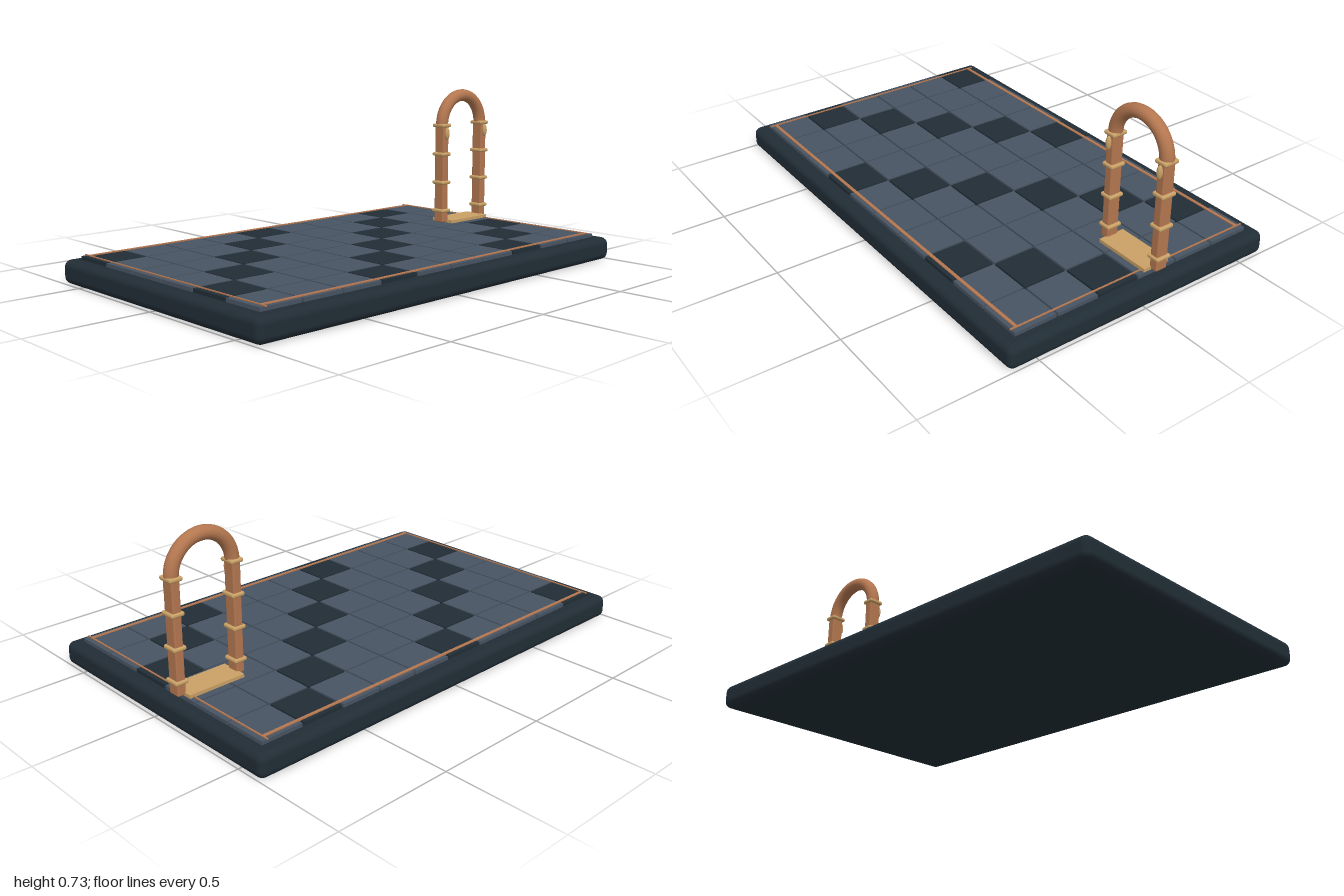
import * as THREE from 'three';
import { RoundedBoxGeometry } from 'three/addons/geometries/RoundedBoxGeometry.js';

const material = (name, color) => {
  const m = new THREE.MeshStandardMaterial({ color });
  m.name = name;
  return m;
};

export function createModel() {
  const model = new THREE.Group();
  model.name = 'tiledFloorWithArch';

  const slate = material('dark slate', 0x212d36);
  const tileGrey = material('tile grey', 0x485463);
  const copper = material('copper', 0xb47750);
  const brass = material('brass', 0xc9a066);

  const add = (parent, name, geometry, mat, x, y, z) => {
    const mesh = new THREE.Mesh(geometry, mat);
    mesh.name = name;
    mesh.position.set(x, y, z);
    parent.add(mesh);
    return mesh;
  };

  // Rounded base slab
  add(model, 'baseSlab', new RoundedBoxGeometry(2, 0.098, 1.25, 4, 0.03), slate, 0, 0.049, 0);

  // Floor tiles, with dark ones on every fourth diagonal
  const tiles = new THREE.Group();
  tiles.name = 'tiles';
  model.add(tiles);
  const pitch = 0.19;
  const tileGeometry = new THREE.BoxGeometry(0.182, 0.017, 0.182);
  for (let row = 0; row < 6; row++) {
    for (let col = 0; col < 10; col++) {
      const dark = (row + col) % 4 === 0;
      add(tiles, dark ? 'darkTile' : 'lightTile', tileGeometry, dark ? slate : tileGrey,
        (col - 4.5) * pitch, 0.1045, (row - 2.5) * pitch);
    }
  }

  // Thin inlaid border strips
  for (const s of [-1, 1]) {
    add(model, 'longBorderStrip', new THREE.BoxGeometry(1.85, 0.005, 0.013), copper, 0, 0.1145, s * 0.543);
    add(model, 'sideBorderStrip', new THREE.BoxGeometry(0.006, 0.005, 1.14), copper, s * 0.923, 0.1145, 0);
  }

  // Arch near the left edge
  const arch = new THREE.Group();
  arch.name = 'arch';
  arch.position.set(0.817, 0, -0.094);
  model.add(arch);
  const span = 0.135;
  const springY = 0.57;

  add(arch, 'threshold', new THREE.BoxGeometry(0.25, 0.014, 0.12), brass, 0, 0.12, 0);
  add(arch, 'archTop', new THREE.TorusGeometry(span, 0.028, 16, 32, Math.PI), copper, 0, springY, 0);

  for (const s of [-1, 1]) {
    const post = new THREE.Group();
    post.name = s > 0 ? 'leftPost' : 'rightPost';
    post.position.x = s * span;
    arch.add(post);

    add(post, 'shaft', new RoundedBoxGeometry(0.037, 0.46, 0.054, 2, 0.006), copper, 0, 0.345, 0);
    for (const y of [0.17, 0.303, 0.436, 0.57]) {
      add(post, 'band', new RoundedBoxGeometry(0.057, 0.017, 0.069, 3, 0.007), brass, 0, y, 0);
    }
    // Small oval lamp on the front of the post
    const lamp = add(post, 'lamp', new THREE.SphereGeometry(1, 16, 12), brass, 0, 0.533, 0.032);
    lamp.scale.set(0.012, 0.029, 0.012);
  }

  return model;
}
